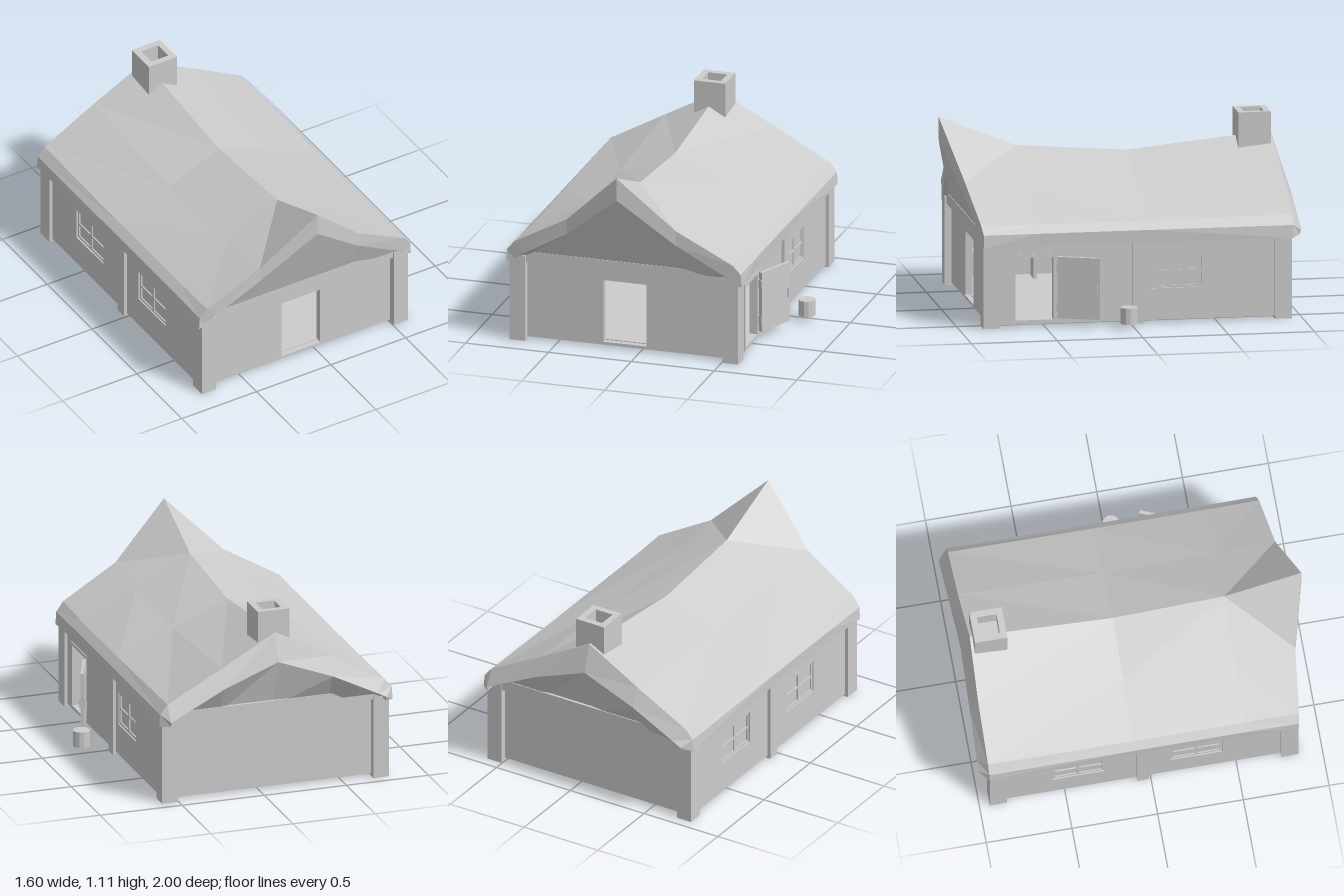
import * as THREE from 'three';

const CX = -0.09; // centre line of the house

export function createModel() {
  const root = new THREE.Group();
  const mat = new THREE.MeshStandardMaterial({ color: 0xcccccc, flatShading: true, side: THREE.DoubleSide });

  const add = (name, geo, parent = root) => {
    const m = new THREE.Mesh(geo, mat);
    m.name = name;
    parent.add(m);
    return m;
  };
  // box from min/max ranges
  const box = (name, x0, x1, y0, y1, z0, z1, parent = root) => {
    const m = add(name, new THREE.BoxGeometry(x1 - x0, y1 - y0, z1 - z0), parent);
    m.position.set((x0 + x1) / 2, (y0 + y1) / 2, (z0 + z1) / 2);
  };
  const polygon = (pts) => new THREE.Shape(pts.map((p) => new THREE.Vector2(...p)));
  const rect = (u0, u1, v0, v1) => polygon([[u0, v0], [u1, v0], [u1, v1], [u0, v1]]);
  const slab = (shape, holes, depth) => {
    shape.holes.push(...holes);
    return new THREE.ExtrudeGeometry(shape, { depth, bevelEnabled: false });
  };
  // triangle list to flat-shaded geometry
  const facets = (pos) => {
    const g = new THREE.BufferGeometry();
    g.setAttribute('position', new THREE.Float32BufferAttribute(pos, 3));
    g.computeVertexNormals();
    return g;
  };
  const quad = (pos, a, b, c, d) => pos.push(...a, ...b, ...c, ...a, ...c, ...d);

  // floor, set slightly above the wall bottoms
  box('floor', -0.72, 0.54, 0.025, 0.04, -0.87, 0.79);

  // end walls, the front one with a doorway
  add('frontWall', slab(rect(-0.75, 0.57, 0.015, 0.52), [rect(-0.225, 0.035, 0.03, 0.41)], 0.04)).position.z = 0.78;
  box('backWall', -0.75, 0.57, 0.015, 0.52, -0.9, -0.86);

  // side walls with windows and a side doorway
  const rightWindow = [-0.43, -0.12, 0.2, 0.395];
  const leftWindows = [[-0.57, -0.27, 0.2, 0.395], [0.12, 0.42, 0.2, 0.395]];
  const sideDoor = [0.44, 0.68, 0.03, 0.415];
  const sideWall = (name, x, holes) => {
    const shape = rect(-0.88, 0.8, 0.015, 0.52);
    add(name, slab(shape, holes.map((h) => rect(...h)), 0.04).rotateY(-Math.PI / 2)).position.x = x;
  };
  sideWall('leftWall', 0.58, [rightWindow, sideDoor]);
  sideWall('rightWall', -0.72, leftWindows);

  // windows: pane, frame and shallow glazing bars
  const windowUnit = ([z0, z1, y0, y1], x) => {
    const g = new THREE.Group();
    g.name = 'window';
    root.add(g);
    const zc = (z0 + z1) / 2, yc = (y0 + y1) / 2, b = 0.014;
    box('pane', x - 0.004, x + 0.004, y0, y1, z0, z1, g);
    for (const z of [z0 + b / 2, zc, z1 - b / 2]) box('verticalBar', x - 0.012, x + 0.012, y0, y1, z - b / 2, z + b / 2, g);
    for (const y of [y0 + b / 2, yc, y1 - b / 2]) box('horizontalBar', x - 0.012, x + 0.012, y - b / 2, y + b / 2, z0, z1, g);
  };
  windowUnit(rightWindow, 0.56);
  for (const w of leftWindows) windowUnit(w, -0.74);

  // timber posts and beams
  for (const s of [-1, 1]) {
    const x0 = s > 0 ? 0.505 : -0.78;
    box('cornerPost', x0, x0 + 0.095, 0, 0.52, 0.76, 0.86);
    box('cornerPost', x0, x0 + 0.095, 0, 0.52, -0.94, -0.84);
    const m = s > 0 ? 0.53 : -0.78;
    box('middlePost', m, m + 0.07, 0, 0.5, -0.08, -0.01);
    const e = s > 0 ? 0.54 : -0.77;
    box('eaveBeam', e, e + 0.05, 0.485, 0.53, -0.88, 0.8);
  }
  box('frontBeam', -0.69, 0.51, 0.478, 0.545, 0.77, 0.85);
  box('backBeam', -0.69, 0.51, 0.478, 0.545, -0.93, -0.86);

  // sagging roof shell: half sections [dx, y, z] from ridge to eave, front to back
  const mid = (z, ridge, shoulder) => ({
    outer: [[0, ridge, z], [0.33, shoulder, z], [0.66, 0.595, z], [0.703, 0.55, z], [0.7, 0.478, z]],
    inner: [[0, ridge - 0.09, z], [0.33, shoulder - 0.08, z], [0.6, 0.54, z], [0.65, 0.505, z], [0.65, 0.48, z]],
  });
  const sections = [
    {
      outer: [[0, 1.11, 1], [0.33, 0.79, 0.905], [0.66, 0.605, 0.87], [0.705, 0.55, 0.86], [0.71, 0.475, 0.86]],
      inner: [[0, 0.975, 1], [0.33, 0.7, 0.905], [0.6, 0.54, 0.87], [0.665, 0.5, 0.86], [0.665, 0.48, 0.855]],
    },
    mid(0.55, 0.93, 0.765),
    mid(-0.1, 0.88, 0.74),
    {
      outer: [[0, 0.965, -0.935], [0.33, 0.785, -0.945], [0.66, 0.605, -0.945], [0.705, 0.55, -0.945], [0.71, 0.475, -0.945]],
      inner: [[0, 0.8, -0.988], [0.33, 0.675, -0.995], [0.6, 0.54, -1], [0.655, 0.51, -1], [0.655, 0.485, -0.99]],
    },
  ];
  const mirrorHalf = (half) => [
    ...half.slice(1).reverse().map(([x, y, z]) => [CX - x, y, z]),
    ...half.map(([x, y, z]) => [CX + x, y, z]),
  ];
  const rings = sections.map((s) => [...mirrorHalf(s.outer), ...mirrorHalf(s.inner).reverse()]);
  const n = rings[0].length;
  const roof = [];
  for (let i = 0; i < rings.length - 1; i++) {
    for (let j = 0; j < n; j++) {
      const k = (j + 1) % n;
      const q = [rings[i][j], rings[i][k], rings[i + 1][k], rings[i + 1][j]];
      // mirrored diagonals: towards the front in the first bay, the back in the others
      const rightHalf = j >= 4 && j < 13;
      if (rightHalf === (i === 0)) q.push(q.shift());
      quad(roof, ...q);
    }
  }
  const front = rings[0], back = rings[rings.length - 1];
  for (let j = 0; j < n / 2 - 1; j++) {
    quad(roof, front[j + 1], front[j], front[n - 1 - j], front[n - 2 - j]);
    quad(roof, back[j], back[j + 1], back[n - 2 - j], back[n - 1 - j]);
  }
  add('roof', facets(roof));

  // gables leaning outwards from the beam to the roof edge
  const gable = (name, half, zBase) => {
    const top = mirrorHalf(half.slice(0, 4));
    const base = top.map(([x]) => [CX + THREE.MathUtils.clamp(x - CX, -0.62, 0.62), 0.5, zBase]);
    const pos = [];
    for (let i = 0; i < top.length - 1; i++) {
      const q = [base[i], base[i + 1], top[i + 1], top[i]];
      quad(pos, ...(zBase > 0 ? q : q.reverse()));
    }
    add(name, facets(pos));
  };
  gable('frontGable', sections[0].inner, 0.83);
  gable('backGable', sections[3].inner, -0.9);

  // square chimney with a shallow opening
  const chimney = add('chimney', slab(rect(-0.095, 0.095, -0.095, 0.095), [rect(-0.057, 0.057, -0.057, 0.057)], 0.23).rotateX(-Math.PI / 2));
  chimney.position.set(-0.085, 0.865, -0.825);
  box('chimneyFloor', -0.145, -0.025, 0.98, 0.99, -0.885, -0.765);

  // door frames
  const frame = slab(rect(0.43, 0.69, 0.02, 0.425), [rect(0.45, 0.67, 0.04, 0.405)], 0.05).rotateY(-Math.PI / 2);
  add('sideDoorFrame', frame).position.x = 0.585;
  box('frontSill', -0.225, 0.035, 0.025, 0.035, 0.775, 0.825);

  // open side door with hinges and handle
  const door = new THREE.Group();
  door.name = 'sideDoor';
  door.position.set(0.595, 0, 0.425);
  door.rotation.y = 1.176;
  root.add(door);
  box('leaf', 0, 0.25, 0.05, 0.41, -0.01, 0.01, door);
  box('handle', 0.225, 0.235, 0.2, 0.255, -0.018, 0.018, door);
  for (const y of [0.12, 0.34]) box('hinge', -0.005, 0.015, y - 0.025, y + 0.025, -0.013, 0.013, door);

  // log stump beside the door
  add('stump', new THREE.CylinderGeometry(0.05, 0.05, 0.095, 12)).position.set(0.75, 0.083, 0.038);

  // half-round hearth on the back wall with a tapered mouth, flue and logs
  const halfRound = (name, rTop, rBottom, y0, y1) => {
    const g = new THREE.CylinderGeometry(rTop, rBottom, y1 - y0, 12, 1, false, -Math.PI / 2, Math.PI);
    add(name, g).position.set(CX, (y0 + y1) / 2, -0.87);
  };
  halfRound('hearthBase', 0.22, 0.22, 0.02, 0.16);
  halfRound('flue', 0.1, 0.088, 0.29, 0.85);
  const mouth = polygon([[-0.08, 0.165], [0.08, 0.165], [0.06, 0.25], [0.03, 0.28], [-0.03, 0.28], [-0.06, 0.25]]);
  add('hearthSurround', slab(rect(-0.15, 0.15, 0.16, 0.29), [mouth], 0.13)).position.set(CX, 0, -0.87);
  for (let i = 0; i < 4; i++) {
    const log = add('log', new THREE.CylinderGeometry(0.014, 0.014, 0.12, 6).rotateZ(Math.PI / 2));
    log.position.set(CX, 0.175 + i * 0.016, -0.78 - (i % 2) * 0.03);
    log.rotation.set(0, i * 0.5 - 0.75, (i % 2 ? 1 : -1) * 0.1);
  }

  // bench along the right wall
  box('benchTop', -0.71, -0.56, 0.19, 0.21, 0.3, 0.76);
  for (const z of [0.34, 0.72]) box('benchLeg', -0.69, -0.58, 0.03, 0.19, z, z + 0.02);

  return root;
}
